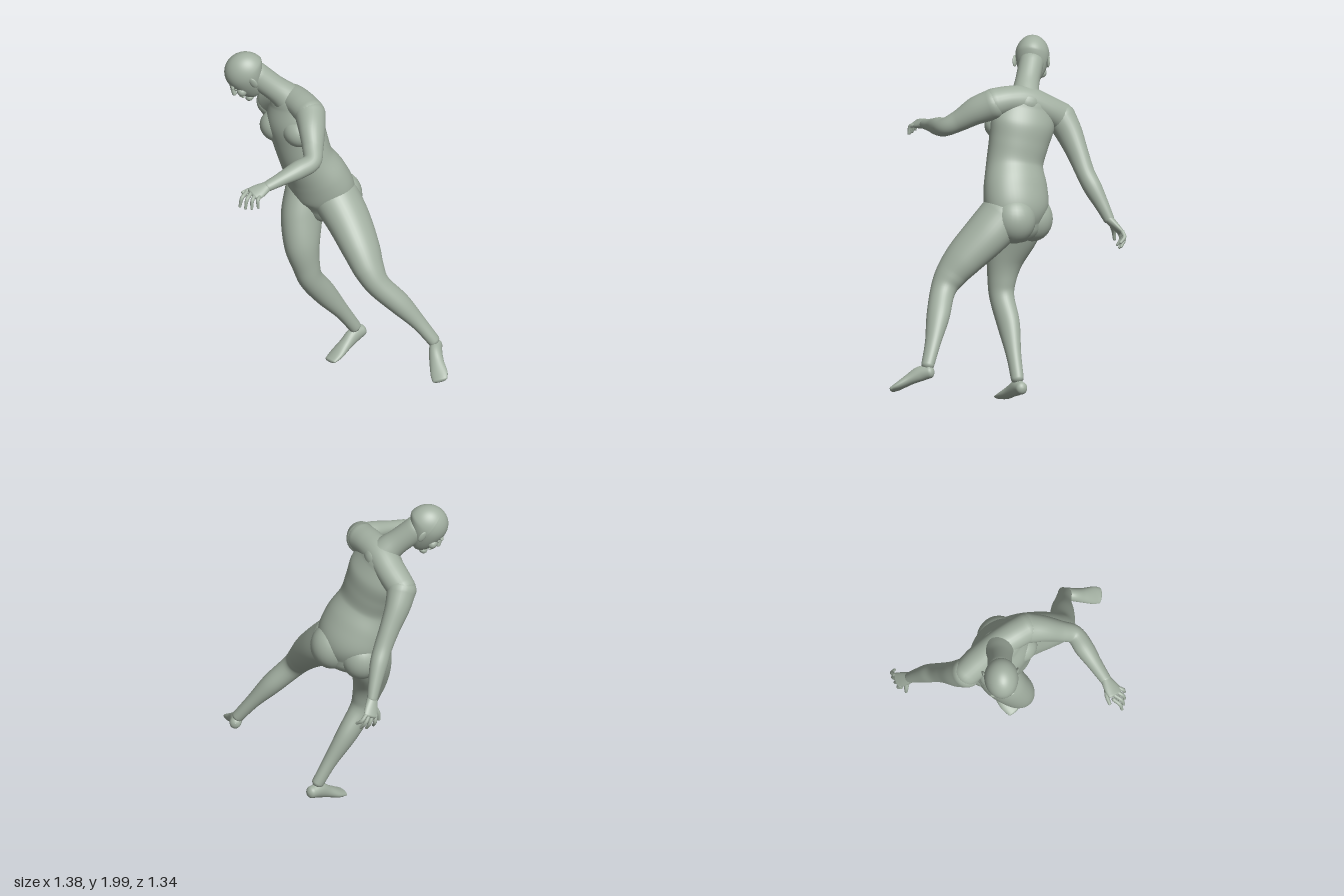
import * as THREE from 'three';

const skin = new THREE.MeshStandardMaterial({ color: 0xa3b0a2 });
skin.name = 'grey green';
const V = (a) => new THREE.Vector3(...a);

function add(parent, name, geometry) {
  const mesh = new THREE.Mesh(geometry, skin);
  mesh.name = name;
  parent.add(mesh);
  return mesh;
}

// Smooth limb through rings [x, y, z, halfWidth, halfDepth] with rounded ends.
// The width axis turns from sideA to sideB along the limb.
function loft(rings, sideA = [1, 0, 0], sideB = sideA, cap = 0.8, n = 28) {
  const path = new THREE.CatmullRomCurve3(rings.map((r) => V(r.slice(0, 3))), false, 'catmullrom', 0.5);
  const size = new THREE.CatmullRomCurve3(rings.map((r) => V([r[3], r[4], 0])), false, 'catmullrom', 0.5);
  const steps = (rings.length - 1) * 7, capSteps = 6;
  const stations = [];
  for (let i = capSteps; i > 0; i--) stations.push([0, -i / capSteps]);
  for (let i = 0; i <= steps; i++) stations.push([i / steps, 0]);
  for (let i = 1; i <= capSteps; i++) stations.push([1, i / capSteps]);
  const pos = [], index = [];
  stations.forEach(([t, c], i) => {
    const T = path.getTangent(t), R = size.getPoint(t), P = path.getPoint(t);
    const S = V(sideA).lerp(V(sideB), t);
    S.addScaledVector(T, -S.dot(T)).normalize();
    const F = S.clone().cross(T);
    const angle = c * 1.55, k = Math.cos(angle);
    P.addScaledVector(T, Math.sin(angle) * Math.min(R.x, R.y) * cap);
    for (let j = 0; j < n; j++) {
      const a = (j / n) * Math.PI * 2;
      const p = P.clone().addScaledVector(S, Math.cos(a) * R.x * k).addScaledVector(F, Math.sin(a) * R.y * k);
      pos.push(p.x, p.y, p.z);
      if (i < stations.length - 1) {
        const q = i * n + j, r = i * n + (j + 1) % n;
        index.push(q, q + n, r, r, q + n, r + n);
      }
    }
  });
  const g = new THREE.BufferGeometry();
  g.setAttribute('position', new THREE.Float32BufferAttribute(pos, 3));
  g.setIndex(index);
  g.computeVertexNormals();
  return g;
}

function blob(parent, name, center, radii) {
  const mesh = add(parent, name, new THREE.SphereGeometry(1, 28, 20));
  mesh.position.set(...center);
  mesh.scale.set(...radii);
  return mesh;
}

// Head in its own frame: x to its left, y to the crown, z to the face
function makeHead() {
  const head = new THREE.Group();
  head.name = 'head';
  const skull = new THREE.SphereGeometry(1, 48, 36);
  const p = skull.attributes.position;
  for (let i = 0; i < p.count; i++) {
    let x = p.getX(i) * 0.096, y = p.getY(i), z = p.getZ(i) * 0.118;
    const t = Math.max(0, -y);
    x *= 1 - 0.2 * t * t;
    if (z < 0) z *= 1 - 0.45 * t;
    z += 0.045 * t * t;
    y *= 0.117 + 0.05 * t;
    p.setXYZ(i, x, y, z);
  }
  skull.computeVertexNormals();
  add(head, 'skull', skull);
  add(head, 'nose', loft([[0, -0.012, 0.112, 0.01, 0.01], [0, -0.045, 0.127, 0.012, 0.013], [0, -0.072, 0.138, 0.017, 0.014]]));
  blob(head, 'upperLip', [0, -0.103, 0.115, ], [0.026, 0.008, 0.012]);
  blob(head, 'lowerLip', [0, -0.117, 0.112], [0.022, 0.008, 0.012]);
  blob(head, 'chin', [0, -0.146, 0.088], [0.03, 0.022, 0.026]);
  for (const s of [1, -1]) {
    blob(head, 'brow', [s * 0.038, -0.008, 0.104], [0.032, 0.01, 0.012]);
    blob(head, 'eyelid', [s * 0.038, -0.033, 0.1], [0.018, 0.01, 0.012]);
    blob(head, 'cheek', [s * 0.046, -0.065, 0.083], [0.032, 0.03, 0.028]);
    const ear = blob(head, 'ear', [s * 0.095, -0.042, -0.015], [0.009, 0.034, 0.021]);
    ear.rotation.set(-0.2, -s * 0.35, 0);
  }
  const left = V([0.56, 0, 0.83]).normalize();
  const face = V([-0.64, -0.64, 0.43]).normalize();
  const crown = face.clone().cross(left).normalize();
  head.quaternion.setFromRotationMatrix(new THREE.Matrix4().makeBasis(left, crown, face));
  head.position.set(-0.58, 1.885, 0.05);
  return head;
}

// Hand: a palm from wrist to knuckles, four bent fingers and a thumb
function makeHand(name, wrist, knuckles, tips, thumb, bulge) {
  const hand = new THREE.Group();
  hand.name = name;
  const [k0, k3] = knuckles.map(V);
  const mid = k0.clone().lerp(k3, 0.5), across = k0.clone().sub(k3);
  const w = across.length() / 2 + 0.01;
  const half = V(wrist).lerp(mid, 0.55);
  add(hand, 'palm', loft([[...wrist, 0.031, 0.026], [...half.toArray(), w * 0.92, 0.021], [...mid.toArray(), w, 0.016]], across.toArray()));
  tips.forEach((tip, i) => {
    const base = k0.clone().lerp(k3, i / 3);
    const joint = base.clone().lerp(V(tip), 0.5).add(V(bulge));
    add(hand, 'finger', loft([[...base.toArray(), 0.012, 0.012], [...joint.toArray(), 0.011, 0.011], [...tip, 0.008, 0.008]], across.toArray(), across.toArray(), 1, 12));
  });
  add(hand, 'thumb', loft(thumb.map((q, i) => [...q, 0.017 - i * 0.004, 0.017 - i * 0.004]), [0.3, 1, 0.2], [0.3, 1, 0.2], 1, 12));
  return hand;
}

export function createModel() {
  const body = new THREE.Group();
  body.name = 'figure';
  const hipSide = [1, 0.25, 0.05], chestSide = [0.87, 0.25, 0.48];

  // Trunk
  add(body, 'torso', loft([
    [-0.2, 1.02, -0.17, 0.16, 0.13], [-0.2, 1.11, -0.16, 0.197, 0.16],
    [-0.225, 1.22, -0.13, 0.195, 0.155], [-0.265, 1.34, -0.09, 0.17, 0.14],
    [-0.305, 1.46, -0.085, 0.178, 0.142], [-0.34, 1.57, -0.085, 0.19, 0.14],
    [-0.365, 1.67, -0.09, 0.16, 0.1]], hipSide, chestSide, 0.8, 48));
  add(body, 'shoulders', loft([
    [-0.545, 1.575, -0.19, 0.08, 0.085], [-0.46, 1.635, -0.15, 0.085, 0.08],
    [-0.36, 1.69, -0.095, 0.085, 0.085], [-0.27, 1.705, -0.045, 0.085, 0.08],
    [-0.19, 1.695, 0.0, 0.085, 0.085]], [0.48, 0, -0.87]));
  add(body, 'neck', loft([
    [-0.35, 1.67, -0.09, 0.1, 0.1], [-0.395, 1.73, -0.06, 0.078, 0.08],
    [-0.445, 1.78, -0.03, 0.069, 0.072], [-0.53, 1.86, 0.015, 0.07, 0.075]], chestSide, [0.56, 0, 0.83]));
  const chest = [['leftChest', [-0.265, 1.555, 0.005]], ['rightChest', [-0.445, 1.505, -0.06]]];
  for (const [name, c] of chest) blob(body, name, c, [0.1, 0.085, 0.085]).rotation.y = -0.5;
  blob(body, 'leftButtock', [-0.115, 1.07, -0.215], [0.125, 0.135, 0.12]);
  blob(body, 'rightButtock', [-0.29, 1.04, -0.2], [0.115, 0.13, 0.115]);
  body.add(makeHead());

  // Legs
  add(body, 'leftLeg', loft([
    [-0.1, 1.08, -0.145, 0.13, 0.14], [0.0, 0.985, -0.105, 0.117, 0.135],
    [0.11, 0.87, -0.045, 0.1, 0.118], [0.185, 0.775, -0.005, 0.083, 0.095],
    [0.25, 0.69, 0.0, 0.068, 0.073], [0.355, 0.57, -0.055, 0.06, 0.067],
    [0.45, 0.45, -0.1, 0.041, 0.047], [0.53, 0.34, -0.13, 0.034, 0.038]], [0.8, 0.6, 0], [0.8, 0.6, 0], 0.8, 36));
  add(body, 'rightLeg', loft([
    [-0.295, 1.09, -0.145, 0.115, 0.13], [-0.29, 0.95, -0.085, 0.113, 0.135],
    [-0.26, 0.8, -0.03, 0.099, 0.112], [-0.23, 0.67, -0.025, 0.077, 0.085],
    [-0.208, 0.57, -0.045, 0.066, 0.073], [-0.165, 0.44, -0.13, 0.058, 0.07],
    [-0.105, 0.29, -0.22, 0.04, 0.046], [-0.062, 0.17, -0.285, 0.034, 0.038]], [1, 0.1, 0], [1, 0.1, 0], 0.8, 36));

  // Feet, heel to toes
  add(body, 'leftFoot', loft([
    [0.537, 0.305, -0.15, 0.033, 0.036], [0.56, 0.29, -0.1, 0.037, 0.043],
    [0.595, 0.255, -0.05, 0.042, 0.032], [0.635, 0.217, -0.005, 0.05, 0.023],
    [0.655, 0.198, 0.022, 0.044, 0.016]], [0.75, 0.4, -0.5]));
  add(body, 'rightFoot', loft([
    [-0.045, 0.125, -0.33, 0.034, 0.036], [-0.065, 0.115, -0.28, 0.037, 0.045],
    [-0.085, 0.08, -0.22, 0.04, 0.034], [-0.105, 0.045, -0.16, 0.048, 0.025],
    [-0.12, 0.023, -0.11, 0.042, 0.014]], [0.92, 0.1, 0.4]));

  // Arms
  add(body, 'leftArm', loft([
    [-0.19, 1.69, 0.0, 0.088, 0.088], [-0.135, 1.65, 0.08, 0.074, 0.08],
    [-0.085, 1.59, 0.16, 0.06, 0.062], [-0.05, 1.545, 0.235, 0.053, 0.052],
    [-0.09, 1.525, 0.32, 0.055, 0.052], [-0.14, 1.505, 0.415, 0.042, 0.038],
    [-0.187, 1.487, 0.505, 0.033, 0.028]], [0.9, 0, 0.4]));
  add(body, 'rightArm', loft([
    [-0.545, 1.575, -0.19, 0.083, 0.088], [-0.55, 1.49, -0.25, 0.07, 0.08],
    [-0.54, 1.39, -0.32, 0.057, 0.065], [-0.53, 1.29, -0.385, 0.052, 0.054],
    [-0.532, 1.21, -0.44, 0.05, 0.054], [-0.54, 1.12, -0.5, 0.038, 0.042],
    [-0.547, 1.045, -0.545, 0.029, 0.033]], [1, 0, 0]));

  // Hands
  body.add(makeHand('leftHand', [-0.187, 1.487, 0.505],
    [[-0.268, 1.475, 0.6], [-0.192, 1.465, 0.58]],
    [[-0.278, 1.412, 0.658], [-0.245, 1.407, 0.652], [-0.212, 1.407, 0.64], [-0.18, 1.415, 0.622]],
    [[-0.215, 1.475, 0.53], [-0.265, 1.47, 0.555], [-0.297, 1.462, 0.59]], [0, 0.016, 0.014]));
  body.add(makeHand('rightHand', [-0.547, 1.045, -0.545],
    [[-0.59, 0.965, -0.585], [-0.555, 0.985, -0.64]],
    [[-0.575, 0.897, -0.585], [-0.55, 0.892, -0.622], [-0.53, 0.905, -0.652], [-0.512, 0.935, -0.664]],
    [[-0.56, 1.01, -0.56], [-0.585, 0.965, -0.55], [-0.592, 0.92, -0.548]], [-0.01, 0, -0.012]));
  return body;
}
